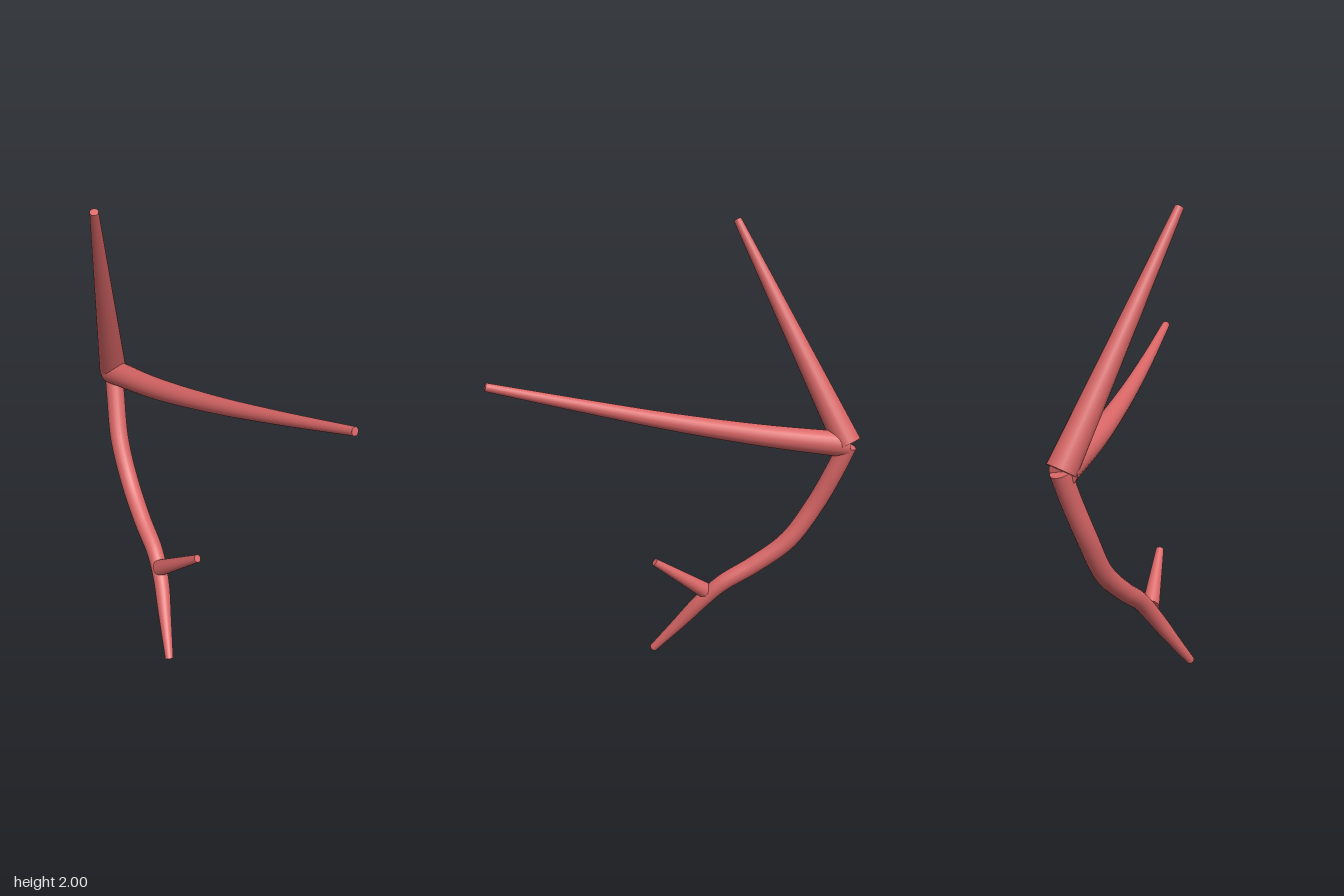
import * as THREE from 'three';
import { mergeGeometries } from 'three/addons/utils/BufferGeometryUtils.js';

const SIDES = 20;

// Flat disc closing one end of a limb
function cap(center, direction, radius) {
  const g = new THREE.CircleGeometry(radius, SIDES);
  g.applyQuaternion(new THREE.Quaternion().setFromUnitVectors(new THREE.Vector3(0, 0, 1), direction));
  return g.translate(center.x, center.y, center.z);
}

// Tube along a smooth curve; radii are spread evenly along its length
function limb(name, points, radii, material) {
  const curve = new THREE.CatmullRomCurve3(points.map((p) => new THREE.Vector3(...p)));
  const rings = points.length > 2 ? 48 : 8;
  const radiusAt = (t) => {
    const f = t * (radii.length - 1);
    const i = Math.min(Math.floor(f), radii.length - 2);
    return THREE.MathUtils.lerp(radii[i], radii[i + 1], f - i);
  };
  const tube = new THREE.TubeGeometry(curve, rings, 1, SIDES, false);
  const pos = tube.attributes.position;
  const v = new THREE.Vector3();
  // Scale each unit ring about its centre to taper the limb
  for (let r = 0; r <= rings; r++) {
    const c = curve.getPointAt(r / rings);
    for (let s = 0; s <= SIDES; s++) {
      const i = r * (SIDES + 1) + s;
      v.fromBufferAttribute(pos, i).sub(c).multiplyScalar(radiusAt(r / rings)).add(c);
      pos.setXYZ(i, v.x, v.y, v.z);
    }
  }
  const geometry = mergeGeometries([
    tube,
    cap(curve.getPointAt(0), curve.getTangentAt(0).negate(), radiusAt(0)),
    cap(curve.getPointAt(1), curve.getTangentAt(1), radiusAt(1)),
  ]);
  const mesh = new THREE.Mesh(geometry, material);
  mesh.name = name;
  return mesh;
}

export function createModel() {
  const group = new THREE.Group();
  group.name = 'branch';
  const bark = new THREE.MeshStandardMaterial({ color: 0xd96666 });

  // Curving main stem, from the fork down to the foot
  group.add(limb('mainStem', [
    [-0.66, 1.04, -0.355], [-0.635, 0.93, -0.315], [-0.585, 0.75, -0.24],
    [-0.5, 0.58, -0.16], [-0.39, 0.46, -0.055], [-0.285, 0.37, 0.04],
    [-0.225, 0.28, 0.11], [-0.165, 0.15, 0.205], [-0.1, 0.01, 0.31],
  ], [0.042, 0.042, 0.041, 0.039, 0.033, 0.018], bark));

  // Straight upright branch
  group.add(limb('upperBranch', [
    [-0.662, 1.045, -0.352], [-0.456, 1.992, 0.143],
  ], [0.062, 0.018], bark));

  // Long side branch, bending gently upward
  group.add(limb('sideBranch', [
    [-0.665, 1.04, -0.345], [-0.35, 1.1, -0.155], [0, 1.184, 0.035],
    [0.35, 1.282, 0.215], [0.71, 1.388, 0.392],
  ], [0.057, 0.018], bark));

  // Short twig low on the stem
  group.add(limb('lowerTwig', [
    [-0.236, 0.33, 0.095], [-0.01, 0.502, 0.19],
  ], [0.037, 0.017], bark));

  return group;
}
